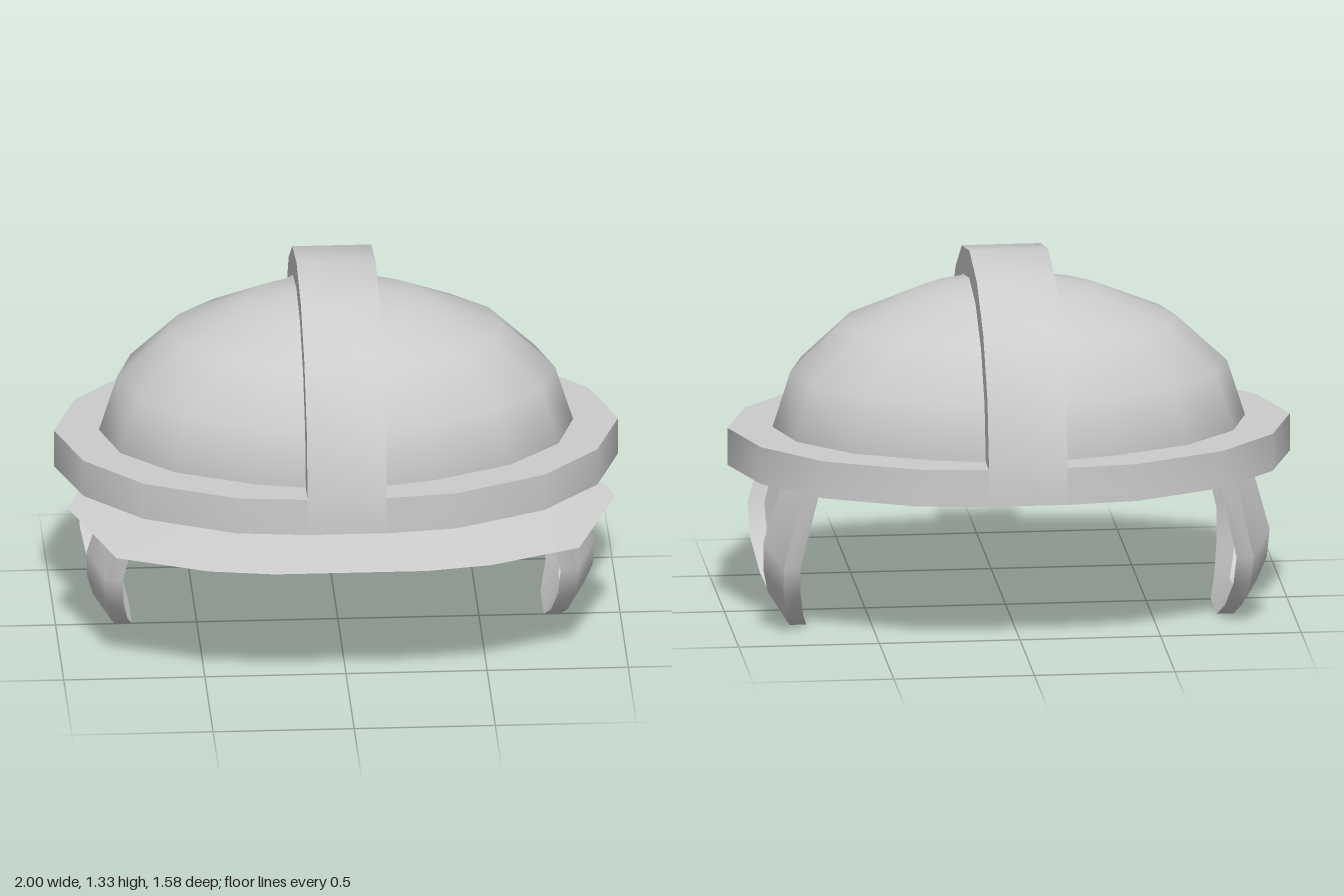
import * as THREE from 'three';

const MID = -0.11;   // z of the shell's centre
const HALF = 0.14;   // half width of the crest
const RIM = 0.7;     // height of the ledge
const LOW = 0.565;   // lower edge of the band
const material = new THREE.MeshStandardMaterial({ color: 0xcccccc, side: THREE.DoubleSide });

// Smooth sheet through rows of [x, y, z] points
function sheet(rows) {
  const n = rows[0].length, index = [];
  for (let r = 0; r < rows.length - 1; r++) {
    for (let c = 0; c < n - 1; c++) {
      const a = r * n + c, b = a + n;
      index.push(a, b, a + 1, a + 1, b, b + 1);
    }
  }
  const geo = new THREE.BufferGeometry();
  geo.setAttribute('position', new THREE.Float32BufferAttribute(rows.flat(2), 3));
  geo.setIndex(index);
  geo.computeVertexNormals();
  return geo;
}

function add(parent, name, geo) {
  const mesh = new THREE.Mesh(geo, material);
  mesh.name = name;
  parent.add(mesh);
  return mesh;
}

// Lengthwise arc of eight straight segments, front to back
const arc = (x, depth, height) => Array.from({ length: 9 }, (_, i) => {
  const a = i * Math.PI / 8;
  return [x, RIM + height * Math.sin(a), MID + depth * Math.cos(a)];
});

// Half outline from front to back, made from one quarter of [x, dz]
const outline = (quarter, y, s) => [
  ...quarter.map(([x, z]) => [s * x, y, MID + z]),
  ...quarter.slice(0, -1).reverse().map(([x, z]) => [s * x, y, MID - z]),
];

const bandQuarter = [[HALF, 0.68], [0.39, 0.65], [0.71, 0.5], [0.91, 0.28], [1, 0]];
const domeQuarter = [0, 1, 2, 3, 4].map(i => {
  const a = i * Math.PI / 8;
  return [Math.max(HALF, 0.84 * Math.sin(a)), 0.57 * Math.cos(a)];
});

// Half of the dome, cut straight where it meets the crest
function halfDome(s) {
  const geo = new THREE.SphereGeometry(1, 8, 4, s * Math.PI / 2, Math.PI, 0, Math.PI / 2);
  geo.scale(0.84, 0.525, 0.57);
  geo.translate(0, RIM, MID);
  const p = geo.attributes.position;
  for (let i = 0; i < p.count; i++) p.setX(i, s * Math.max(HALF, s * p.getX(i)));
  return geo;
}

// U-shaped side strap: slanted rectangular section, outer and inner edges as [x, y, z]
function strap(s) {
  const group = new THREE.Group();
  group.name = s > 0 ? 'leftStrap' : 'rightStrap';
  const outer = [[0.77, LOW, 0.285], [0.835, 0.27, 0.245], [0.83, 0.16, 0.19], [0.81, 0.055, 0.09], [0.79, 0, 0]];
  const inner = [[0.84, LOW, 0.21], [0.9, 0.35, 0.17], [0.895, 0.235, 0.12], [0.87, 0.13, 0.03], [0.85, 0.09, -0.06]];
  const line = (pts, dx) => [
    ...pts.map(([x, y, z]) => [s * (x - dx), y, z]),
    ...[...pts].reverse().map(([x, y, z]) => [s * (x - dx), y, -0.21 - z]),
  ];
  const edges = [line(outer, 0), line(inner, 0), line(inner, 0.06), line(outer, 0.06)];
  const names = ['strapOutside', 'strapInnerEdge', 'strapInside', 'strapOuterEdge'];
  names.forEach((name, i) => add(group, name, sheet([edges[i], edges[(i + 1) % 4]])));
  return group;
}

export function createModel() {
  const model = new THREE.Group();
  model.name = 'helmet';

  // Crest roof, running down over the band at both ends
  const roof = [-HALF, HALF].map(x => [
    [x, LOW, MID + 0.68], ...arc(x, 0.68, 0.625), [x, LOW, MID - 0.68],
  ]);
  add(model, 'crestRoof', sheet(roof));

  for (const s of [1, -1]) {
    const side = s > 0 ? 'left' : 'right';
    add(model, side + 'Dome', halfDome(s));
    add(model, side + 'CrestWall', sheet([arc(s * HALF, 0.57, 0.525), arc(s * HALF, 0.68, 0.625)]));
    const bandTop = outline(bandQuarter, RIM, s);
    add(model, side + 'Ledge', sheet([outline(domeQuarter, RIM, s), bandTop]));
    add(model, side + 'Band', sheet([bandTop, outline(bandQuarter, LOW, s)]));
    model.add(strap(s));
  }

  // Visor sloping down from the front of the band
  const mirror = pts => [...pts.map(([x, y, z]) => [-x, y, z]), ...[...pts].reverse()];
  const visorInner = [[0.925, LOW, 0.14], [0.91, LOW, 0.17], [0.71, LOW, 0.39], [0.39, LOW, 0.54], [HALF, LOW, 0.57]];
  const visorOuter = [[0.94, 0.56, 0.16], [0.97, 0.545, 0.23], [0.82, 0.51, 0.61], [0.5, 0.51, 0.75], [0.27, 0.51, 0.79]];
  add(model, 'visor', sheet([mirror(visorInner), mirror(visorOuter)]));

  return model;
}
